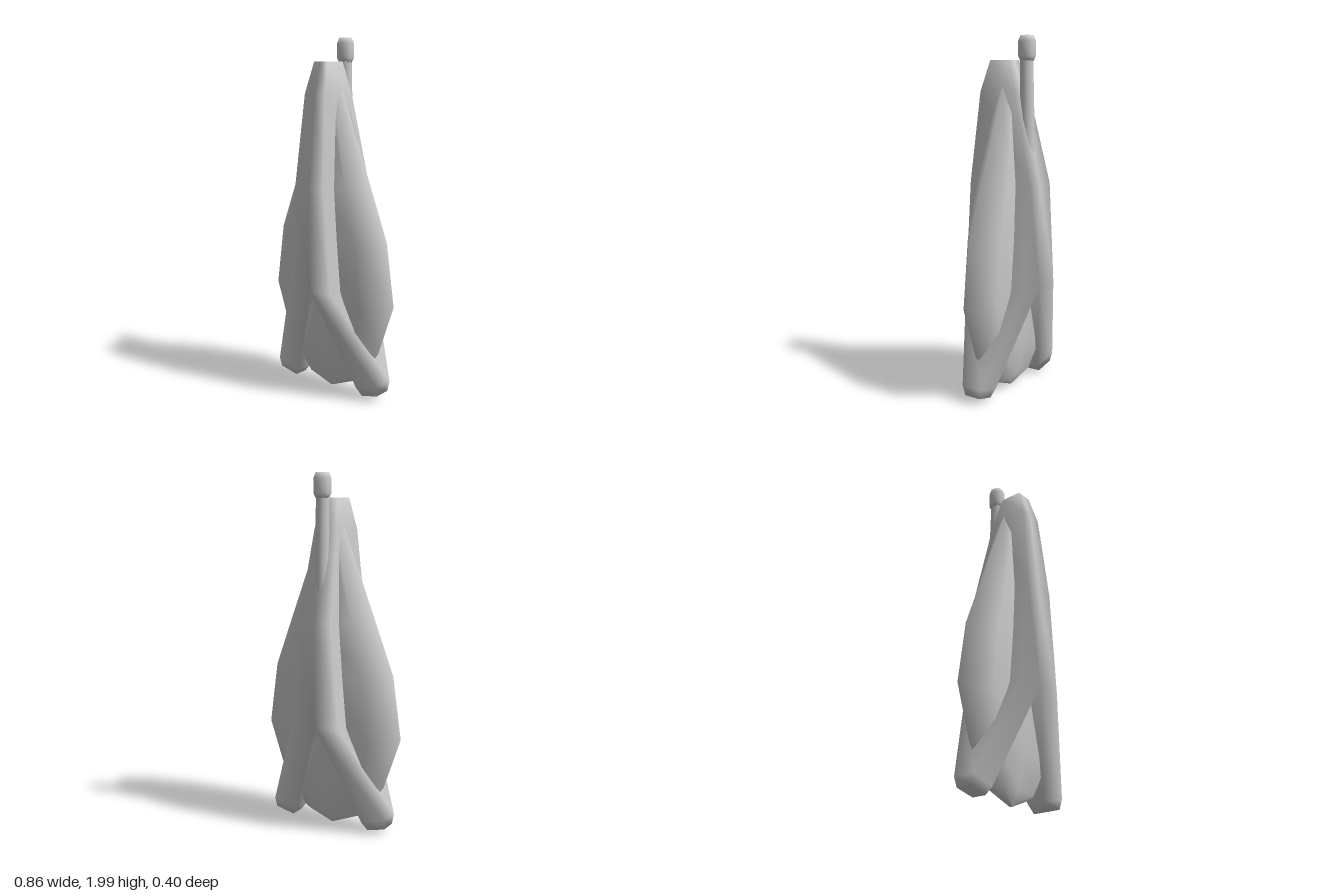
import * as THREE from 'three';
import { mergeGeometries, mergeVertices } from 'three/addons/utils/BufferGeometryUtils.js';

const material = new THREE.MeshStandardMaterial({ color: 0xcccccc, side: THREE.DoubleSide });

// Skin a stack of rings (listed from top to bottom), optionally closing the ends
function loft(rings, capTop, capBottom) {
  const n = rings[0].length, index = [];
  const last = (rings.length - 1) * n;
  for (let i = 0; i < rings.length - 1; i++) {
    for (let j = 0; j < n; j++) {
      const k = (j + 1) % n;
      const a = i * n + j, b = i * n + k, c = a + n, d = b + n;
      index.push(a, b, c, b, d, c);
    }
  }
  for (let j = 1; j < n - 1; j++) {
    if (capTop) index.push(0, j + 1, j);
    if (capBottom) index.push(last, last + j, last + j + 1);
  }
  const g = new THREE.BufferGeometry();
  g.setAttribute('position', new THREE.Float32BufferAttribute(rings.flat(2), 3));
  g.setIndex(index);
  return g;
}

function addMesh(group, name, geometry) {
  const mesh = new THREE.Mesh(geometry, material);
  mesh.name = name;
  group.add(mesh);
  return mesh;
}

// Broad pod with pointed side edges: [y, half width, half depth]
function podGeometry() {
  const sections = [
    [1.85, 0.03, 0.02], [1.73, 0.066, 0.05], [1.2, 0.27, 0.105], [0.91, 0.38, 0.112],
    [0.56, 0.43, 0.11], [0.27, 0.33, 0.085], [0.08, 0.19, 0.05], [0.008, 0.01, 0.008],
  ];
  const rings = sections.map(([y, w, d]) => [
    [w, y, 0], [0.64 * w, y, d], [0, y, 1.06 * d], [-0.64 * w, y, d],
    [-w, y, 0], [-0.64 * w, y, -d], [0, y, -1.06 * d], [0.64 * w, y, -d],
  ]);
  const g = loft(rings, true, true);
  g.computeVertexNormals();
  return g;
}

// Central spine that forks into two legs, welded into one smooth skin
function forkedSpineGeometry() {
  // [y, half width, front z, back z]
  const sections = [
    [1.87, 0.046, 0.1, -0.03], [1.7, 0.07, 0.15, -0.08],
    [1.2, 0.1, 0.2, -0.2], [0.62, 0.15, 0.2, -0.2],
  ];
  const spine = loft(sections.map(([y, w, f, b]) => [
    [w, y, f], [0, y, f], [-w, y, f], [-w, y, b], [0, y, b], [w, y, b],
  ]), true, false);

  // Leg steps: [outer x, outer y, inner x, inner y]; depth tapers with height
  const steps = [
    [0.15, 0.62, 0, 0.62], [0.365, 0.1, 0.215, 0.06], [0.36, 0.045, 0.25, 0.015],
  ];
  const depth = (y) => 0.2 - 0.262 * (0.62 - y);
  const leg = (side) => loft(steps.map(([ox, oy, ix, iy]) => {
    const ring = [
      [side * ox, oy, depth(oy)], [side * ix, iy, depth(iy)],
      [side * ix, iy, -depth(iy)], [side * ox, oy, -depth(oy)],
    ];
    return side > 0 ? ring : ring.reverse();
  }), false, true);

  const g = mergeVertices(mergeGeometries([spine, leg(1), leg(-1)]), 1e-4);
  g.computeVertexNormals();
  return g;
}

export function createModel() {
  const group = new THREE.Group();
  group.name = 'pod';

  addMesh(group, 'podBody', podGeometry());
  addMesh(group, 'forkedSpine', forkedSpineGeometry());

  // Slightly leaning rod emerging from the back of the spine
  const rod = addMesh(group, 'rod', new THREE.CylinderGeometry(0.037, 0.042, 0.62, 8));
  rod.position.set(0, 1.58, -0.115);
  rod.rotation.x = 0.02;

  // Bevelled cap on the rod
  const profile = [[0, 1.865], [0.036, 1.865], [0.049, 1.89], [0.049, 1.97], [0.036, 2], [0, 2]];
  const cap = addMesh(group, 'rodCap', new THREE.LatheGeometry(
    profile.map(([r, y]) => new THREE.Vector2(r, y)), 8, Math.PI / 8));
  cap.position.z = -0.112;

  return group;
}
